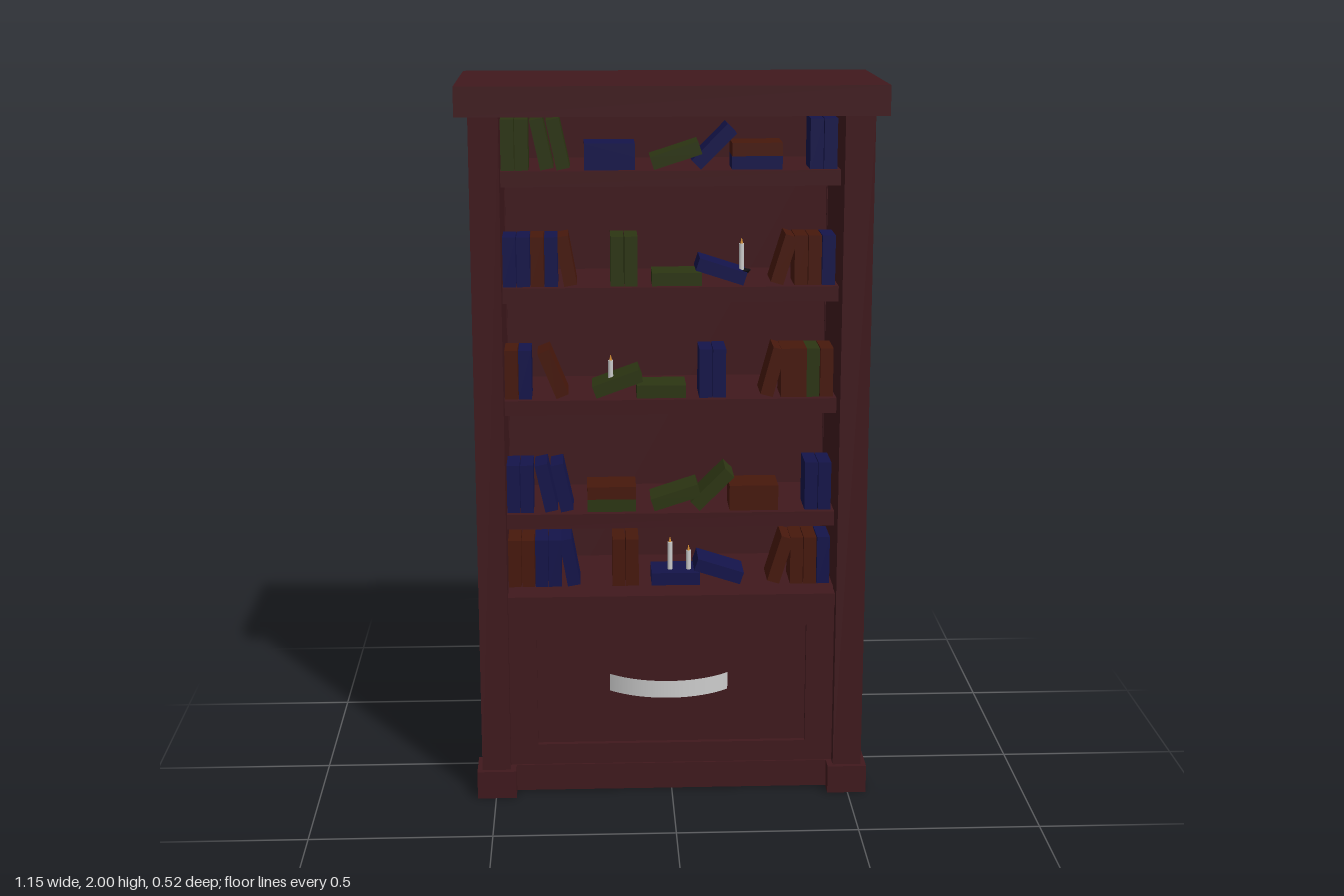
import * as THREE from 'three';

const mat = (color) => new THREE.MeshStandardMaterial({ color });

export function createModel() {
  const model = new THREE.Group();
  const wood = mat(0x40191d);
  const colors = { b: mat(0x14144a), g: mat(0x2c3512), r: mat(0x47180c) };
  const wax = mat(0xcccccc), iron = mat(0x101014), flame = mat(0xd08a30);
  const metal = new THREE.MeshStandardMaterial({ color: 0xcccccc, side: THREE.DoubleSide });

  // Box given by its min and max corners
  function box(name, x0, x1, y0, y1, z0, z1, material = wood, parent = model) {
    const mesh = new THREE.Mesh(new THREE.BoxGeometry(x1 - x0, y1 - y0, z1 - z0), material);
    mesh.position.set((x0 + x1) / 2, (y0 + y1) / 2, (z0 + z1) / 2);
    mesh.name = name;
    parent.add(mesh);
    return mesh;
  }

  // Carcass
  box('topBoard', -0.573, 0.573, 1.92, 2, -0.26, 0.26);
  box('base', -0.515, 0.515, 0.003, 0.08, -0.2, 0.205);
  box('backPanel', -0.5, 0.5, 0.08, 1.92, -0.2, -0.17);
  for (const s of [-1, 1]) {
    const a = s * 0.46, b = s * 0.51;
    box('sidePanel', Math.min(a, b), Math.max(a, b), 0.08, 1.92, -0.18, 0.18);
    for (const t of [-1, 1]) {
      const post = box('cornerPost', -0.04, 0.04, 0.08, 1.92, -0.04, 0.04);
      post.position.x = s * 0.498;
      post.position.z = t * 0.197;
      const foot = box('foot', -0.055, 0.055, 0, 0.08, -0.055, 0.055);
      foot.position.x = s * 0.497;
      foot.position.z = t * 0.197;
    }
  }

  // Drawer front with a sunken panel
  const frame = new THREE.Shape([[-0.46, 0.08], [0.46, 0.08], [0.46, 0.545], [-0.46, 0.545]]
    .map(([x, y]) => new THREE.Vector2(x, y)));
  frame.holes.push(new THREE.Path([[-0.38, 0.14], [-0.38, 0.49], [0.38, 0.49], [0.38, 0.14]]
    .map(([x, y]) => new THREE.Vector2(x, y))));
  const drawerFrame = new THREE.Mesh(
    new THREE.ExtrudeGeometry(frame, { depth: 0.03, bevelEnabled: false }), wood);
  drawerFrame.position.z = 0.17;
  drawerFrame.name = 'drawerFrame';
  model.add(drawerFrame);
  box('drawerPanel', -0.38, 0.38, 0.14, 0.49, 0.165, 0.185);

  // Bowed handle: a flat strip bent along an arc
  const r = 0.25, half = Math.asin(0.173 / r);
  const handle = new THREE.Mesh(
    new THREE.CylinderGeometry(r, r, 0.05, 20, 1, true, -half, half * 2), metal);
  handle.position.set(-0.008, 0.32, 0.249 - r);
  handle.name = 'drawerHandle';
  model.add(handle);

  // Books: standing, leaning (degrees, positive tips left) or lying (90)
  const W = 0.036, H = 0.137, D = 0.11;
  function book(shelf, y, color, x, degrees = 0, level = 0) {
    const angle = THREE.MathUtils.degToRad(degrees);
    const rise = (H * Math.abs(Math.cos(angle)) + W * Math.abs(Math.sin(angle))) / 2;
    const mesh = new THREE.Mesh(new THREE.BoxGeometry(W, H, D), colors[color]);
    mesh.position.set(x, y + rise + level * W, 0.063);
    mesh.rotation.z = angle;
    mesh.name = 'book';
    shelf.add(mesh);
  }

  // Candle on a small dish
  function candle(x, y, height) {
    const group = new THREE.Group();
    group.name = 'candle';
    [['dish', 0.026, 0.02, 0.008, 0.004, iron],
      ['wax', 0.007, 0.007, height, height / 2 + 0.006, wax],
      ['flame', 0.001, 0.004, 0.014, height + 0.013, flame]].forEach(([name, a, b, h, cy, m]) => {
      const mesh = new THREE.Mesh(new THREE.CylinderGeometry(a, b, h, 12), m);
      mesh.position.y = cy;
      mesh.name = name;
      group.add(mesh);
    });
    group.position.set(x, y, 0.08);
    model.add(group);
  }

  // Shelves: top height, then books as [color, x, degrees, level]
  const leftStart = [-0.44, -0.402, -0.364, -0.326];
  const rightEnd = [['r', 0.312, -17], ['r', 0.358], ['r', 0.396], ['b', 0.434]];
  const bluePair = [['b', 0.396], ['b', 0.434]];
  const shelves = [
    [1.763, [['g', -0.44], ['g', -0.402], ['g', -0.348, 12], ['g', -0.304, 12],
      ['b', -0.165, 90], ['b', -0.165, 90, 1], ['g', 0.015, -72], ['b', 0.118, -45],
      ['b', 0.235, 90], ['r', 0.235, 90, 1], ...bluePair]],
    [1.445, [...['b', 'b', 'r', 'b'].map((c, i) => [c, leftStart[i]]), ['r', -0.285, 10],
      ['g', -0.146], ['g', -0.108], ['g', 0.018, 90], ['b', 0.14, 72], ...rightEnd]],
    [1.13, [['r', -0.44], ['b', -0.402], ['r', -0.325, 22], ['g', -0.147, -70],
      ['g', -0.025, 90], ['b', 0.098], ['b', 0.136], ['r', 0.285, -15], ['r', 0.325],
      ['r', 0.36], ['g', 0.396], ['r', 0.434]]],
    [0.803, [['b', -0.44], ['b', -0.402], ['b', -0.348, 12], ['b', -0.304, 12],
      ['g', -0.165, 90], ['r', -0.165, 90, 1], ['g', 0.015, -72], ['g', 0.118, -45],
      ['r', 0.235, 90], ['r', 0.235, 90, 1], ...bluePair]],
    [0.584, [...['r', 'r', 'b', 'b'].map((c, i) => [c, leftStart[i]]), ['b', -0.285, 10],
      ['r', -0.146], ['r', -0.108], ['b', 0.015, 90], ['b', 0.138, 72], ...rightEnd]],
  ];
  shelves.forEach(([y, books], i) => {
    const shelf = new THREE.Group();
    shelf.name = 'shelf';
    const front = i === 4 ? 0.21 : 0.138;
    box('shelfBoard', -0.46, 0.46, y - 0.042, y, -0.17, front, wood, shelf);
    books.forEach((b) => book(shelf, y, ...b));
    model.add(shelf);
  });

  candle(0.197, 1.475, 0.075);
  candle(-0.165, 1.155, 0.07);
  candle(0, 0.6, 0.095);
  candle(0.053, 0.6, 0.07);
  return model;
}
